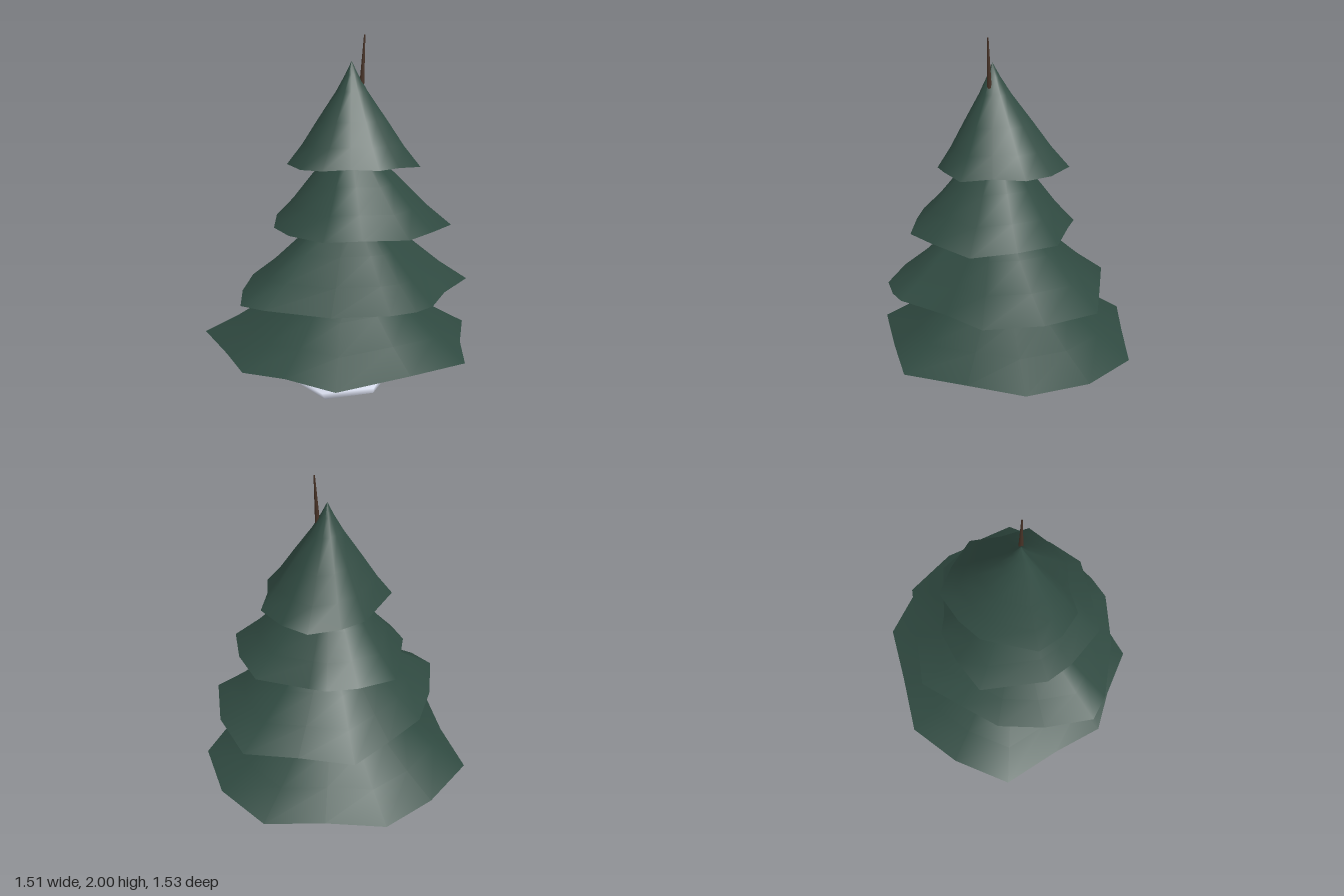
import * as THREE from 'three';

// Skin stacked closed rings (each counterclockwise seen from above) from bottom to top
function loft(rings) {
  const n = rings[0].length;
  const index = [];
  for (let k = 0; k < rings.length - 1; k++) {
    for (let i = 0; i < n; i++) {
      const j = (i + 1) % n;
      const a = k * n + i, b = k * n + j;
      index.push(a, b, b + n, a, b + n, a + n);
    }
  }
  const geometry = new THREE.BufferGeometry();
  geometry.setAttribute('position', new THREE.Float32BufferAttribute(rings.flat(2), 3));
  geometry.setIndex(index);
  geometry.computeVertexNormals();
  return geometry;
}

// Regular horizontal ring
function circle(x, y, z, r, n) {
  return Array.from({ length: n }, (_, i) => {
    const a = (i / n) * Math.PI * 2;
    return [x + r * Math.cos(a), y, z - r * Math.sin(a)];
  });
}

// Uneven horizontal ring from [x, z] corners
const outline = (points, y) => points.map(([x, z]) => [x, y, z]);

// Branch skirt: concave cone from an uneven rim up to an apex; [radius share, height share]
const PROFILE = [[1, 0], [0.76, 0.2], [0.53, 0.43], [0.24, 0.71], [0.1, 0.87], [0.002, 1]];
function branchTier(rim, apex, y, height) {
  const rings = PROFILE.map(([r, h]) => rim.map(([x, z], i) => [
    apex[0] + (x - apex[0]) * r,
    y + h * height + (1 - h) * 0.007 * Math.sin(i * 2.3),
    apex[1] + (z - apex[1]) * r,
  ]));
  return loft(rings);
}

const TIERS = [
  { y: 0.257, height: 0.55, apex: [0.04, 0.03], rim: [
    [0.69, 0.1], [0.755, -0.24], [0.49, -0.48], [0.27, -0.73], [-0.09, -0.77], [-0.43, -0.645],
    [-0.59, -0.34], [-0.76, -0.04], [-0.7, 0.29], [-0.55, 0.62], [-0.19, 0.685], [0.11, 0.765],
    [0.32, 0.64], [0.595, 0.52]] },
  { y: 0.602, height: 0.56, apex: [0.08, 0.02], rim: [
    [0.695, 0.07], [0.69, -0.05], [0.53, -0.3], [0.44, -0.57], [0.13, -0.67], [-0.2, -0.655],
    [-0.38, -0.4], [-0.56, -0.14], [-0.48, 0.12], [-0.4, 0.37], [-0.2, 0.565], [0.05, 0.73],
    [0.2, 0.68], [0.48, 0.46], [0.67, 0.22]] },
  { y: 0.955, height: 0.57, apex: [0.07, 0.015], rim: [
    [0.59, 0.03], [0.545, -0.18], [0.44, -0.43], [0.2, -0.5], [-0.04, -0.495], [-0.24, -0.265],
    [-0.32, -0.195], [-0.365, -0.02], [-0.385, 0.205], [-0.07, 0.433], [0.1, 0.45],
    [0.36, 0.417], [0.47, 0.245]] },
  { y: 1.3, height: 0.56, apex: [0.09, 0.015], rim: [
    [0.4, 0.075], [0.415, -0.05], [0.395, -0.225], [0.24, -0.29], [0.095, -0.39], [-0.08, -0.345],
    [-0.24, -0.265], [-0.265, -0.08], [-0.25, 0.075], [-0.07, 0.34], [0.085, 0.36],
    [0.235, 0.325], [0.3, 0.19]] },
];

export function createModel() {
  const group = new THREE.Group();
  const material = (name, color) =>
    new THREE.MeshStandardMaterial({ name, color, side: THREE.DoubleSide });
  const needles = material('dark green needles', 0x304a41);
  const bark = material('brown bark', 0x473226);
  const snow = material('pale snow', 0xd5daea);

  const add = (name, geometry, mat) => {
    const mesh = new THREE.Mesh(geometry, mat);
    mesh.name = name;
    group.add(mesh);
  };

  // Leaning, tapering trunk, open at the foot
  const trunkRings = [0, 0.3, 0.9, 1.5, 1.8, 2].map((y) =>
    circle(0.06 + 0.04 * y, y, 0.045 - 0.04 * y, 0.004 + 0.074 * (1 - y / 2), 7));
  add('trunk', loft(trunkRings), bark);

  // Four skirts of branches
  TIERS.forEach((t, i) =>
    add(`branchTier${i + 1}`, branchTier(t.rim, t.apex, t.y, t.height), needles));

  // Hollow snow mound round the foot
  const foot = [[0.28, 0.35], [0.38, 0.09], [0.175, -0.25], [-0.145, -0.19], [-0.27, 0.02], [-0.07, 0.34]];
  const brim = [[0.3, 0.385], [0.42, 0.12], [0.17, -0.26], [-0.12, -0.18], [-0.22, 0.03], [-0.06, 0.34]];
  const toward = (s) => brim.map(([x, z]) => [0.065 + (x - 0.065) * s, 0.04 + (z - 0.04) * s]);
  add('snowMound', loft([
    outline(foot, 0.05), outline(brim, 0.1), outline(toward(0.28), 0.15), outline(toward(0.02), 0.15),
  ]), snow);

  return group;
}
